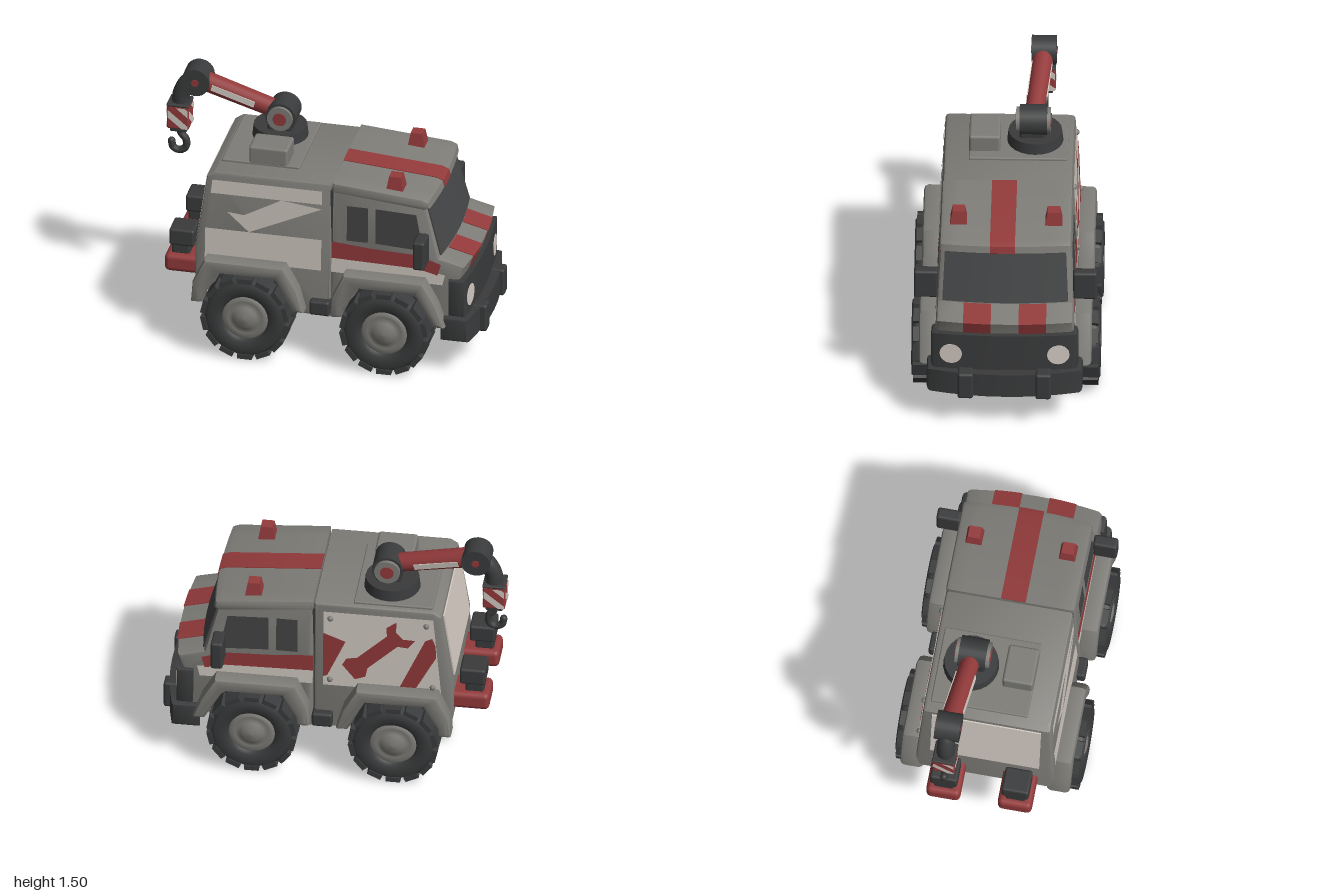
import * as THREE from 'three';
import { toCreasedNormals } from 'three/addons/utils/BufferGeometryUtils.js';
import { RoundedBoxGeometry } from 'three/addons/geometries/RoundedBoxGeometry.js';

const paint = (name, color) => {
  const m = new THREE.MeshStandardMaterial({ color, side: THREE.DoubleSide });
  m.name = name;
  return m;
};
const grey = paint('body grey', 0x7e7d78);
const white = paint('panel white', 0xd4cbc3);
const red = paint('rescue red', 0x933a3b);
const dark = paint('dark rubber', 0x3a3b3c);
const glass = paint('window glass', 0x454647);

// Half width of the tapered body at height y
const half = (y) => 0.4 - 0.05 * (y - 0.6);

export function createModel() {
  const root = new THREE.Group();
  root.name = 'craneTruck';

  const add = (name, geo, mat, pos = [0, 0, 0], parent = root) => {
    const m = new THREE.Mesh(geo, mat);
    m.name = name;
    m.position.set(...pos);
    parent.add(m);
    return m;
  };
  const shapeOf = (pts) => new THREE.Shape(pts.map((p) => new THREE.Vector2(...p)));

  // Side profile extruded across z, tapered upward and swept back at the nose by bend
  const prof = (name, pts, z0, z1, mat, { b = 0.02, taper = false, bend = 0 } = {}) => {
    const geo = new THREE.ExtrudeGeometry(shapeOf(pts), {
      depth: z1 - z0 - 2 * b, steps: bend ? 8 : 1, bevelEnabled: b > 0,
      bevelSize: b, bevelThickness: b, bevelOffset: -b, bevelSegments: 2,
    }).translate(0, 0, z0 + b);
    const p = geo.attributes.position;
    for (let i = 0; i < p.count; i++) {
      const x = p.getX(i), y = p.getY(i);
      let z = p.getZ(i);
      if (taper) z *= half(y) / 0.4;
      if (x > 0.55) p.setX(i, x - bend * z * z * Math.min(1, (x - 0.55) / 0.2));
      p.setZ(i, z);
    }
    return add(name, toCreasedNormals(geo, 0.6), mat);
  };
  // Flat painted shape on the body side s (+1 or -1)
  const decal = (name, pts, mat, s, off = 0.005) => {
    const geo = new THREE.ShapeGeometry(shapeOf(pts));
    const p = geo.attributes.position;
    for (let i = 0; i < p.count; i++) p.setZ(i, s * (half(p.getY(i)) + off));
    return add(name, geo, mat);
  };
  const rect = (x0, y0, x1, y1) => [[x0, y0], [x1, y0], [x1, y1], [x0, y1]];
  const box = (name, x0, x1, y0, y1, z0, z1, mat, r = 0.015) =>
    add(name, new RoundedBoxGeometry(x1 - x0, y1 - y0, z1 - z0, 2, r), mat,
      [(x0 + x1) / 2, (y0 + y1) / 2, (z0 + z1) / 2]);
  const limb = (name, a, b, r0, r1, mat) => {
    const A = new THREE.Vector3(...a), B = new THREE.Vector3(...b);
    const dir = B.clone().sub(A);
    const m = add(name, new THREE.CylinderGeometry(r1, r0, dir.length(), 20), mat,
      A.clone().add(B).multiplyScalar(0.5).toArray());
    m.quaternion.setFromUnitVectors(new THREE.Vector3(0, 1, 0), dir.normalize());
    return m;
  };
  // Round pin lying across the truck
  const pin = (name, r, len, mat, pos) => {
    add(name, new THREE.CylinderGeometry(r, r, len, 24), mat, pos).rotation.x = Math.PI / 2;
  };

  // Body shells with wheel arches
  prof('rearBox', [[-0.7, 0.36], [-0.6, 0.36], [-0.54, 0.52], [-0.22, 0.52], [-0.11, 0.28], [0.103, 0.27],
    [0.103, 1.12], [-0.59, 1.12], [-0.635, 1.09], [-0.7, 0.64]], -0.4, 0.4, grey, { taper: true });
  prof('cab', [[0.11, 0.27], [0.19, 0.28], [0.29, 0.52], [0.58, 0.52], [0.7, 0.3], [0.86, 0.3], [0.9, 0.6],
    [0.927, 0.685], [0.775, 0.725], [0.675, 1.06], [0.11, 1.1]], -0.4, 0.4, grey, { taper: true, bend: 0.2 });
  prof('cabRoof', [[0.11, 1.07], [0.67, 1.02], [0.71, 1.035], [0.7, 1.075], [0.66, 1.09], [0.11, 1.135]],
    -0.405, 0.405, grey, { taper: true, bend: 0.2 });
  box('cabSeam', 0.06, 0.16, 0.32, 1.09, -0.37, 0.37, dark);
  box('chassis', -0.66, 0.82, 0.27, 0.55, -0.25, 0.25, dark);

  // Glass and painted bands
  prof('windshield', [[0.771, 0.735], [0.781, 0.735], [0.694, 1.025], [0.684, 1.025]], -0.37, 0.37, glass,
    { b: 0, taper: true, bend: 0.2 });
  prof('roofStripe', [[0.11, 1.13], [0.66, 1.085], [0.7, 1.07], [0.708, 1.03], [0.713, 1.035], [0.704, 1.077],
    [0.66, 1.094], [0.11, 1.139]], -0.055, 0.09, red, { b: 0, bend: 0.2 });
  for (const s of [1, -1]) {
    prof('hoodStripe', [[0.78, 0.718], [0.922, 0.68], [0.896, 0.605], [0.904, 0.605], [0.931, 0.687], [0.78, 0.729]],
      s * 0.16 - 0.08, s * 0.16 + 0.08, red, { b: 0, bend: 0.2 });
    decal('rearSideWindow', rect(0.2, 0.78, 0.325, 1.0), glass, s);
    decal('doorWindow', [[0.37, 0.78], [0.655, 0.765], [0.61, 0.99], [0.37, 1.0]], glass, s);
    decal('cabRedBand', [[0.11, 0.66], [0.62, 0.65], [0.74, 0.62], [0.76, 0.69], [0.62, 0.735], [0.34, 0.745],
      [0.11, 0.765]], red, s);
    decal('cabWhiteBand', [[0.11, 0.57], [0.77, 0.56], [0.785, 0.625], [0.62, 0.65], [0.11, 0.66]], white, s, 0.003);
  }

  // Near side panel in three painted areas
  decal('upperPanel', [[-0.61, 0.99], [0.05, 0.99], [0.05, 1.075], [-0.6, 1.075]], white, 1);
  decal('panelWedge', [[-0.51, 0.88], [-0.41, 0.87], [-0.19, 0.99], [0.05, 0.96], [-0.38, 0.765]], white, 1);
  decal('lowerPanel', rect(-0.64, 0.57, 0.05, 0.765), white, 1);

  // Far side panel with a spanner sign and corner bolts
  decal('signPanel', [[-0.64, 0.57], [0.05, 0.57], [0.05, 1.075], [-0.59, 1.075]], white, -1);
  decal('signStripe', [[0.05, 0.93], [-0.08, 0.88], [0.025, 0.64], [0.05, 0.63]], red, -1, 0.009);
  decal('signStripe', [[-0.605, 0.9], [-0.585, 0.95], [-0.545, 0.93], [-0.39, 0.58], [-0.48, 0.575], [-0.61, 0.82]],
    red, -1, 0.009);
  const spanner = [[-0.12, -0.045], [0.12, -0.045], [0.16, -0.09], [0.23, -0.08], [0.18, -0.03], [0.18, 0.03],
    [0.23, 0.08], [0.16, 0.09], [0.12, 0.045], [-0.12, 0.045], [-0.17, 0.08], [-0.23, 0.055], [-0.22, -0.065], [-0.17, -0.08]];
  const [c, k] = [Math.cos(2.38), Math.sin(2.38)];
  decal('spannerSign', spanner.map(([x, y]) => [-0.265 + x * c - y * k, 0.825 + x * k + y * c]), red, -1, 0.009);
  for (const [x, y] of [[0.01, 0.61], [0.01, 1.03], [-0.55, 1.03], [-0.59, 0.61]])
    add('panelBolt', new THREE.SphereGeometry(0.018, 10, 8), grey, [x, y, -half(y) - 0.004]);
  prof('rearPanel', [[-0.7, 0.65], [-0.639, 1.07], [-0.647, 1.07], [-0.708, 0.65]], -0.32, 0.32, white, { b: 0 });

  // Fenders and wheels
  const tyre = [[0.13, -0.135], [0.21, -0.135], [0.24, -0.105], [0.25, 0], [0.24, 0.105], [0.215, 0.132], [0.15, 0.125],
    [0.135, 0.1]].map((p) => new THREE.Vector2(...p));
  const hub = [[0.145, 0.085], [0.125, 0.115], [0.1, 0.1], [0.07, 0.11], [0.045, 0.128], [0, 0.133]]
    .map((p) => new THREE.Vector2(...p));
  for (const [cx, reach] of [[-0.375, 0], [0.45, 0.01]]) {
    const arch = [[-0.33, 0.32], [-0.32, 0.45], [-0.25, 0.6], [0.22, 0.6], [0.3, 0.46], [0.34 + reach, 0.32],
      [0.27 + reach, 0.32], [0.17, 0.52], [-0.17, 0.52], [-0.25, 0.38], [-0.26, 0.32]].map(([x, y]) => [x + cx, y]);
    prof('leftFender', arch, 0.36, 0.5, grey, { b: 0.025 });
    prof('rightFender', arch, -0.5, -0.36, grey, { b: 0.025 });
    for (const s of [1, -1]) {
      const wheel = new THREE.Group();
      wheel.name = 'wheel';
      wheel.position.set(cx, 0.265, s * 0.413);
      wheel.rotation.x = s * Math.PI / 2;
      root.add(wheel);
      add('tyre', new THREE.LatheGeometry(tyre, 32), dark, [0, 0, 0], wheel);
      add('hub', new THREE.LatheGeometry(hub, 28), grey, [0, 0, 0], wheel);
      add('innerDisc', new THREE.CylinderGeometry(0.14, 0.14, 0.02, 24), dark, [0, -0.115, 0], wheel);
      for (let i = 0; i < 28; i++) {
        const a = (i / 28) * Math.PI * 2, side = i % 2 ? 1 : -1;
        const lug = add('treadLug', new THREE.BoxGeometry(0.03, 0.125, 0.085), dark,
          [Math.cos(a) * 0.245, side * 0.06, Math.sin(a) * 0.245], wheel);
        lug.rotation.y = -a;
      }
    }
    const axle = [[0, -0.3], [0.085, -0.3], [0.115, 0], [0.085, 0.3], [0, 0.3]].map((p) => new THREE.Vector2(...p));
    add('axle', new THREE.LatheGeometry(axle, 16), dark, [cx, 0.265, 0]).rotation.x = Math.PI / 2;
  }

  // Front end, mirrors, beacons and side steps
  prof('grille', rect(0.83, 0.37, 0.93, 0.605), -0.425, 0.425, dark, { bend: 0.15 });
  prof('bumper', rect(0.82, 0.22, 0.985, 0.37), -0.45, 0.45, dark, { bend: 0.3 });
  for (const s of [1, -1]) {
    box('bumperGuard', 0.9, 1.0, 0.21, 0.38, s * 0.225 - 0.045, s * 0.225 + 0.045, dark);
    const lamp = add('headlight', new THREE.CylinderGeometry(0.065, 0.065, 0.02, 24), white, [0.908, 0.472, s * 0.31]);
    lamp.rotation.set(0, -s * 0.09, Math.PI / 2);
    box('mirror', 0.62, 0.69, 0.705, 0.885, s * 0.46 - 0.07, s * 0.46 + 0.07, dark);
    box('sideStep', -0.01, 0.11, 0.3, 0.39, s * 0.41 - 0.05, s * 0.41 + 0.05, dark);
    const beacon = add('beacon', new THREE.CylinderGeometry(0.05, 0.072, 0.09, 4), red, [0.467, 1.138, s * 0.275]);
    beacon.geometry = toCreasedNormals(beacon.geometry.rotateY(Math.PI / 4), 0.3);
    // Rear bumper blocks and canisters
    const z = s * 0.21;
    box('rearBumperBlock', -0.905, -0.64, 0.4, 0.51, z - 0.1, z + 0.1, red, 0.03);
    box('canisterNeck', -0.87, -0.76, 0.5, 0.58, z - 0.06, z + 0.06, dark);
    box('canister', -0.88, -0.73, 0.565, 0.67, z - 0.08, z + 0.08, dark);
  }

  // Roof equipment
  box('roofPlate', -0.58, -0.12, 1.1, 1.135, -0.34, 0.23, grey, 0.008);
  box('roofLocker', -0.42, -0.19, 1.12, 1.235, 0.05, 0.23, grey);
  add('turret', new THREE.CylinderGeometry(0.155, 0.165, 0.09, 24), dark, [-0.32, 1.158, -0.15]);
  box('turretNeck', -0.38, -0.23, 1.19, 1.29, -0.21, -0.06, dark);

  // Crane arm
  const shoulder = [-0.3, 1.285, -0.14], elbow = [-0.82, 1.42, -0.19];
  pin('shoulder', 0.09, 0.16, dark, shoulder);
  pin('shoulderCap', 0.075, 0.2, grey, shoulder);
  pin('shoulderBolt', 0.04, 0.21, red, shoulder);
  const arm = limb('arm', shoulder, elbow, 0.055, 0.06, red);
  add('armStripe', new THREE.BoxGeometry(0.035, 0.27, 0.121), white, [0, 0.03, 0], arm);
  pin('elbow', 0.085, 0.145, dark, elbow);
  pin('elbowBolt', 0.022, 0.155, red, elbow);
  const bow = new THREE.CatmullRomCurve3([[-0.82, 1.42, -0.19], [-0.88, 1.38, -0.19], [-0.915, 1.31, -0.19],
    [-0.92, 1.23, -0.19]].map((p) => new THREE.Vector3(...p)));
  add('forearm', new THREE.TubeGeometry(bow, 14, 0.052, 14), dark);

  // Block with slanted stripes on all four faces, and hook
  box('hookBlock', -0.99, -0.86, 1.1, 1.25, -0.255, -0.125, red, 0.01);
  box('blockCap', -0.992, -0.858, 1.243, 1.26, -0.257, -0.123, dark, 0.008);
  box('blockFoot', -0.975, -0.875, 1.075, 1.11, -0.24, -0.14, dark, 0.008);
  const stripes = [
    [[-0.06, 1.175], [0.025, 1.105], [0.06, 1.105], [0.06, 1.125], [-0.06, 1.225]],
    [[-0.01, 1.24], [0.06, 1.18], [0.06, 1.225], [0.042, 1.24]],
  ];
  for (let i = 0; i < 4; i++) {
    const face = new THREE.Group();
    face.name = 'blockFaceStripes';
    face.position.set(-0.925, 0, -0.19);
    face.rotation.y = i * Math.PI / 2;
    root.add(face);
    for (const pts of stripes) add('blockStripe', new THREE.ShapeGeometry(shapeOf(pts)), white, [0, 0, 0.068], face);
  }
  const hook = new THREE.CatmullRomCurve3([[-0.925, 1.09], [-0.92, 1.05], [-0.89, 1.01], [-0.89, 0.96], [-0.925, 0.935],
    [-0.965, 0.95], [-0.975, 0.99]].map(([x, y]) => new THREE.Vector3(x, y, -0.19)));
  add('hook', new THREE.TubeGeometry(hook, 28, 0.022, 10), dark);
  add('hookTip', new THREE.SphereGeometry(0.022, 10, 8), dark, [-0.975, 0.99, -0.19]);
  return root;
}
